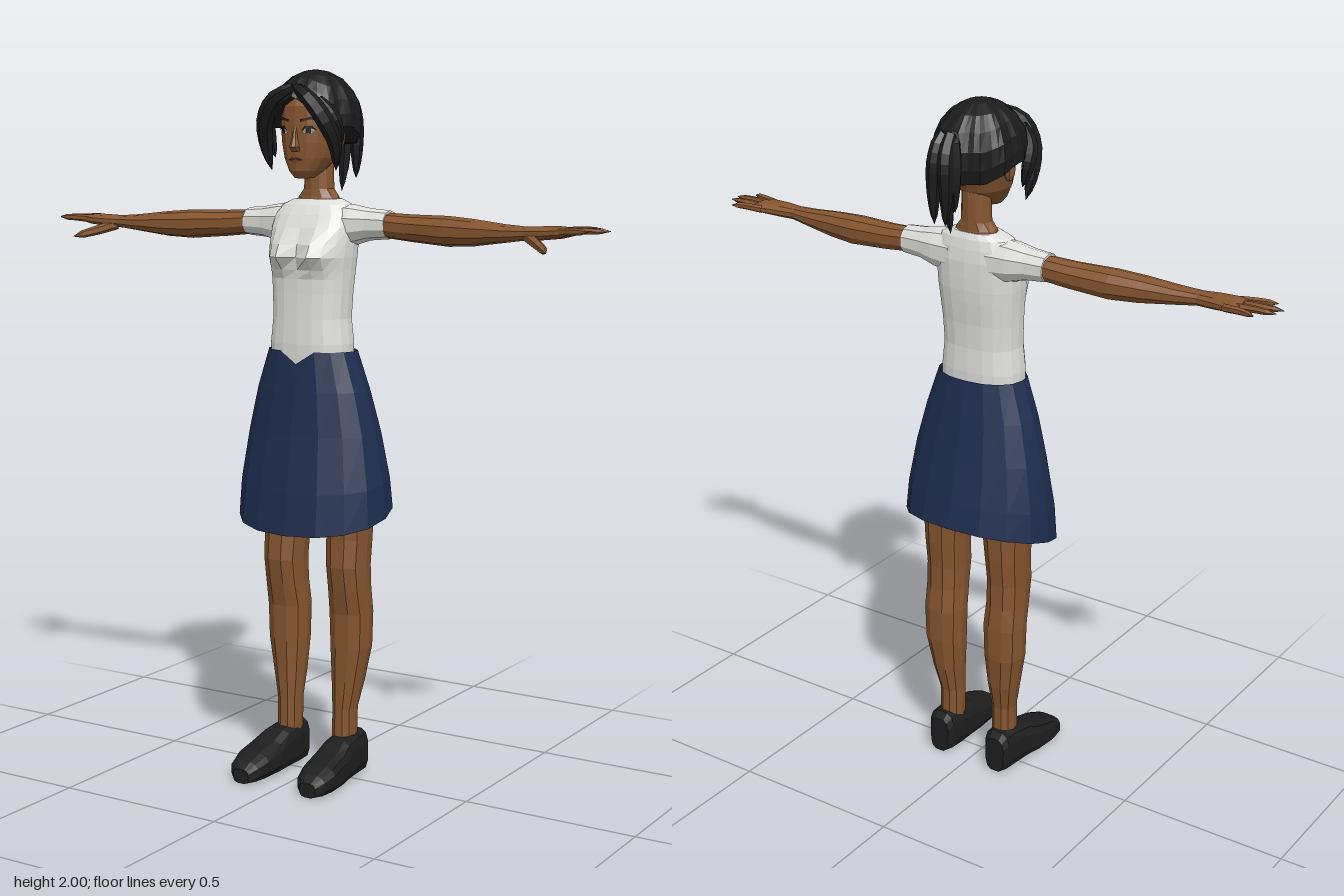
import * as THREE from 'three';

const flat = (color, name, side = THREE.FrontSide) => {
  const m = new THREE.MeshStandardMaterial({ color, flatShading: true, side });
  m.name = name;
  return m;
};
const V = (x, y, z) => new THREE.Vector3(x, y, z);

// Superelliptical ring of points; sections advance along u x v
function ring(c, u, v, n, e = 2, offset = 0) {
  return Array.from({ length: n }, (_, i) => {
    const a = ((i + offset) / n) * Math.PI * 2, p = 2 / e;
    const k = Math.sign(Math.cos(a)) * Math.abs(Math.cos(a)) ** p;
    const s = Math.sign(Math.sin(a)) * Math.abs(Math.sin(a)) ** p;
    return c.clone().addScaledVector(u, k).addScaledVector(v, s);
  });
}

// Skin a list of rings, with optional end caps
function loft(rings, caps = true) {
  const n = rings[0].length, pts = rings.flat(), idx = [];
  for (let i = 0; i < rings.length - 1; i++) {
    for (let j = 0; j < n; j++) {
      const k = (j + 1) % n, a = i * n + j, b = i * n + k;
      idx.push(a, b, b + n, a, b + n, a + n);
    }
  }
  if (caps) {
    const last = (rings.length - 1) * n;
    for (let j = 1; j < n - 1; j++) idx.push(0, j + 1, j, last, last + j, last + j + 1);
  }
  const g = new THREE.BufferGeometry().setFromPoints(pts);
  g.setIndex(idx);
  g.computeVertexNormals();
  return g;
}

// Upright section: height, half width, front z, back z, x centre
const upright = ([y, rx, zf, zb, cx = 0], n, e) =>
  ring(V(cx, y, (zf + zb) / 2), V(rx, 0, 0), V(0, 0, -(zf - zb) / 2), n, e);

// Tapered tube for locks and fingers, flattened along one axis
function strand(points, radius, taper, sides = 6, steps = 10) {
  const curve = new THREE.CatmullRomCurve3(points.map((p) => V(...p)));
  const g = new THREE.TubeGeometry(curve, steps, radius, sides);
  const pos = g.attributes.position, p = V(0, 0, 0);
  for (let i = 0; i < pos.count; i++) {
    const t = Math.floor(i / (sides + 1)) / steps, c = curve.getPointAt(t);
    p.fromBufferAttribute(pos, i).sub(c).multiplyScalar(taper(t)).add(c);
    pos.setXYZ(i, p.x, p.y, p.z);
  }
  g.computeVertexNormals();
  return g;
}
const lockTaper = (t) => Math.sin(Math.PI * Math.min(1, 0.12 + t * 0.88)) ** 0.6;
const fingerTaper = (t) => (t > 0.99 ? 0.05 : 1 - 0.4 * t * t);

function mirrored(geo) {
  const g = geo.clone().scale(-1, 1, 1), a = g.index.array;
  for (let i = 0; i < a.length; i += 3) [a[i], a[i + 1]] = [a[i + 1], a[i]];
  g.computeVertexNormals();
  return g;
}

export function createModel() {
  const model = new THREE.Group();
  const skin = flat(0x85552f, 'skin brown');
  const shirt = flat(0xdedfdb, 'shirt white');
  const navy = flat(0x1e2d4f, 'skirt navy', THREE.DoubleSide);
  const hair = flat(0x1b1b1c, 'hair black', THREE.DoubleSide);
  const shoe = flat(0x1e1e1f, 'shoe black');
  const white = flat(0xb9b2a8, 'eye white', THREE.DoubleSide);
  const dark = flat(0x1c1411, 'eye dark', THREE.DoubleSide);
  const lip = flat(0x693b26, 'lip brown', THREE.DoubleSide);

  const add = (name, geo, mat) => {
    const m = new THREE.Mesh(geo, mat);
    m.name = name;
    model.add(m);
  };
  const pair = (name, geo, mat) => {
    add('left' + name, geo, mat);
    add('right' + name, mirrored(geo), mat);
  };

  // Shirt body, with the bust pushed forward
  const torso = loft([
    [1.16, 0.122, 0.085, -0.075], [1.25, 0.122, 0.088, -0.077], [1.32, 0.114, 0.085, -0.074],
    [1.39, 0.117, 0.083, -0.078], [1.43, 0.12, 0.083, -0.083], [1.455, 0.122, 0.083, -0.086],
    [1.49, 0.126, 0.083, -0.089], [1.525, 0.128, 0.08, -0.09], [1.57, 0.13, 0.068, -0.09],
    [1.605, 0.125, 0.05, -0.086], [1.632, 0.105, 0.032, -0.08], [1.648, 0.07, 0.018, -0.072],
  ].map((s) => upright(s, 20, 2.5)));
  const tp = torso.attributes.position;
  for (let i = 0; i < tp.count; i++) {
    const x = Math.abs(tp.getX(i)), y = tp.getY(i), z = tp.getZ(i);
    if (z > 0.02) {
      const drop = (y - 1.49) / (y < 1.49 ? 0.03 : 0.05);
      tp.setZ(i, z + 0.04 * Math.exp(-(((x - 0.055) / 0.045) ** 2) - drop * drop));
    }
  }
  add('shirtBody', torso, shirt);

  // Sleeves and arms run outwards: x, y, z, half height, half depth
  const across = ([x, y, z, ry, rz]) => ring(V(x, y, z), V(0, ry, 0), V(0, 0, rz), 10, 2.2);
  pair('Sleeve', loft([
    [0.06, 1.575, -0.025, 0.062, 0.06], [0.12, 1.577, -0.026, 0.056, 0.056],
    [0.17, 1.58, -0.027, 0.044, 0.046], [0.23, 1.58, -0.027, 0.039, 0.041],
  ].map(across)), shirt);
  pair('Arm', loft([
    [0.2, 1.58, -0.027, 0.034, 0.036], [0.3, 1.573, -0.022, 0.037, 0.04],
    [0.42, 1.568, -0.012, 0.041, 0.046], [0.5, 1.567, -0.003, 0.036, 0.042],
    [0.6, 1.568, 0.007, 0.024, 0.035], [0.66, 1.57, 0.013, 0.018, 0.03],
    [0.71, 1.572, 0.012, 0.018, 0.04], [0.76, 1.575, 0.006, 0.016, 0.047],
    [0.785, 1.576, 0.004, 0.011, 0.045],
  ].map(across)), skin);
  [[-0.034, 0.845, -0.06], [-0.011, 0.885, -0.014], [0.014, 0.89, 0.018], [0.037, 0.855, 0.06]]
    .forEach(([z0, x, z], i) => pair('Finger' + (i + 1), strand(
      [[0.75, 1.576, z0], [0.81, 1.58, z0 * 0.5 + z * 0.5], [x, 1.58, z]], 0.011, fingerTaper, 6, 5), skin));
  pair('Thumb', strand([[0.67, 1.562, 0.025], [0.72, 1.543, 0.065], [0.765, 1.527, 0.112]],
    0.015, fingerTaper, 6, 5), skin);

  // Skirt with a slanted hem and a small dip at the front waist
  const skirtRows = [
    [0.763, 0.23, 0.155, -0.175, 0.273], [0.86, 0.224, 0.142, -0.16, 0.15],
    [1.0, 0.2, 0.117, -0.133, 0.03], [1.12, 0.17, 0.103, -0.108, 0], [1.23, 0.132, 0.092, -0.09, 0],
  ];
  add('skirt', loft(skirtRows.map(([y, rx, zf, zb, tilt]) => upright([y, rx, zf, zb], 16, 2.2).map((p) => {
    p.y -= p.z * tilt;
    if (y > 1.2 && p.z > 0 && Math.abs(p.x) < 0.03) p.y -= 0.035;
    return p;
  })), false), navy);

  // Legs: height, half width, front z, back z, x centre
  pair('Leg', loft([
    [0.08, 0.034, 0.018, -0.06, 0.093], [0.2, 0.034, 0.015, -0.06, 0.093],
    [0.28, 0.045, 0.016, -0.08, 0.098], [0.38, 0.058, 0.018, -0.094, 0.104],
    [0.48, 0.061, 0.02, -0.096, 0.104], [0.55, 0.058, 0.035, -0.088, 0.105],
    [0.62, 0.058, 0.048, -0.086, 0.105], [0.7, 0.061, 0.042, -0.094, 0.104],
    [0.85, 0.072, 0.05, -0.1, 0.1], [1.05, 0.08, 0.06, -0.095, 0.09],
  ].map((s) => upright(s, 10, 2.3))), skin);

  // Shoes run heel to toe: z, x centre, half width, height
  pair('Shoe', loft([
    [-0.085, 0.1, 0.032, 0.11], [-0.07, 0.1, 0.043, 0.13], [-0.02, 0.1, 0.048, 0.128],
    [0.035, 0.103, 0.051, 0.118], [0.08, 0.107, 0.056, 0.098], [0.15, 0.111, 0.056, 0.078],
    [0.19, 0.112, 0.046, 0.062], [0.21, 0.112, 0.026, 0.042],
  ].map(([z, x, w, h]) => ring(V(x, h / 2, z), V(w, 0, 0), V(0, h / 2, 0), 12, 3.2, 0.5))), shoe);

  // Neck and head
  add('neck', loft([
    [1.62, 0.074, 0.022, -0.076], [1.653, 0.062, 0.012, -0.07], [1.675, 0.043, 0.01, -0.07],
    [1.78, 0.038, 0.01, -0.072],
  ].map((s) => upright(s, 12, 2))), skin);
  const headRows = [
    [1.705, 0.024, 0.074, 0.02], [1.725, 0.043, 0.088, -0.02], [1.76, 0.066, 0.092, -0.072],
    [1.8, 0.077, 0.094, -0.09], [1.85, 0.083, 0.096, -0.108], [1.9, 0.086, 0.094, -0.118],
    [1.95, 0.07, 0.07, -0.095], [1.975, 0.035, 0.03, -0.05],
  ];
  add('head', loft(headRows.map((s) => upright(s, 16, 2.3))), skin);
  pair('Ear', new THREE.SphereGeometry(1, 8, 6).scale(0.013, 0.03, 0.02).translate(0.085, 1.815, 0), skin);
  add('nose', loft([
    [1.778, 0.012, 0.1, 0.08], [1.79, 0.014, 0.113, 0.08], [1.81, 0.009, 0.106, 0.08],
    [1.845, 0.006, 0.098, 0.08],
  ].map((s) => upright(s, 8, 2))), skin);

  // Face details are flat shapes laid just over the curve of the face
  const faceZ = (x, y) => {
    const i = headRows.findIndex((r) => r[0] > y), a = headRows[i - 1], b = headRows[i];
    const [, rx, zf, zb] = a.map((v, k) => v + (b[k] - v) * ((y - a[0]) / (b[0] - a[0])));
    return (zf + zb) / 2 + ((zf - zb) / 2) * (1 - Math.abs(x / rx) ** 2.3) ** (1 / 2.3);
  };
  const patch = (corners, lift) => {
    const g = new THREE.ShapeGeometry(new THREE.Shape(corners.map(([x, y]) => new THREE.Vector2(x, y))));
    const p = g.attributes.position;
    for (let i = 0; i < p.count; i++) p.setZ(i, faceZ(p.getX(i), p.getY(i)) + lift);
    return g;
  };
  pair('Eye', patch([[0.024, 1.829], [0.04, 1.825], [0.055, 1.831], [0.05, 1.841], [0.032, 1.841]], 0.002), white);
  pair('Iris', patch([[0.033, 1.826], [0.046, 1.826], [0.047, 1.841], [0.034, 1.841]], 0.004), dark);
  pair('Lash', patch([[0.023, 1.833], [0.034, 1.84], [0.048, 1.84], [0.06, 1.834], [0.05, 1.846], [0.032, 1.846]], 0.005), dark);
  pair('Eyebrow', patch([[0.018, 1.857], [0.045, 1.864], [0.064, 1.857], [0.046, 1.871], [0.018, 1.864]], 0.003), dark);
  add('lips', patch([[-0.024, 1.755], [0, 1.747], [0.024, 1.755], [0.008, 1.762], [-0.008, 1.762]], 0.003), lip);

  // Hair cap: hairline height by angle from the front, with ridged locks
  const hairline = [[0, 1.925], [0.35, 1.905], [0.7, 1.87], [1, 1.84], [1.5, 1.845], [1.9, 1.825], [2.3, 1.8], [3.2, 1.795]];
  const edgeAt = (t) => {
    const i = hairline.findIndex((k) => k[0] > t), [t0, y0] = hairline[i - 1], [t1, y1] = hairline[i];
    return y0 + ((y1 - y0) * (t - t0)) / (t1 - t0);
  };
  const capRow = (f, shrink) => Array.from({ length: 48 }, (_, j) => {
    const a = (j / 48) * Math.PI * 2, x = Math.cos(a), z = -Math.sin(a);
    const theta = Math.abs(Math.atan2(x, z));
    const phi = f * Math.acos((edgeAt(theta) - 1.86) / 0.14);
    const r = Math.sin(phi) * shrink * (1 + 0.03 * Math.cos(theta * 12 + phi));
    return V(x * r * 0.122, 1.86 + 0.14 * Math.cos(phi), -0.013 + z * r * (z > 0 ? 0.14 : 0.138));
  });
  add('hairCap', loft([capRow(1, 0.72), ...[1, 0.85, 0.68, 0.5, 0.32, 0.15, 0.02].map((f) => capRow(f, 1))]), hair);

  // Swept fringe and loose side locks
  pair('Fringe', strand([[0.005, 1.95, 0.095], [0.05, 1.925, 0.112], [0.092, 1.87, 0.1],
    [0.112, 1.8, 0.07], [0.104, 1.725, 0.05]], 0.024, lockTaper), hair);
  pair('SideLock', strand([[0.07, 1.92, 0.085], [0.105, 1.87, 0.07], [0.11, 1.82, 0.05], [0.096, 1.76, 0.045]],
    0.02, lockTaper), hair);

  // Ponytail
  add('hairTie', new THREE.TorusGeometry(0.022, 0.01, 6, 10).translate(0, 1.905, -0.15), hair);
  [[-0.018, 1.7, -0.2, -0.205], [0.018, 1.7, -0.198, -0.2], [0, 1.665, -0.15, -0.17], [-0.025, 1.73, -0.165, -0.18]]
    .forEach(([x, y, zEnd, zMid], i) => add('ponytailLock' + (i + 1), strand(
      [[0, 1.9, -0.135], [x * 0.7, 1.93, -0.165], [x, 1.88, zMid + 0.01], [x * 1.2, 1.79, zMid + 0.005], [x, y, zEnd]],
      0.022, lockTaper, 6, 12), hair));

  return model;
}
